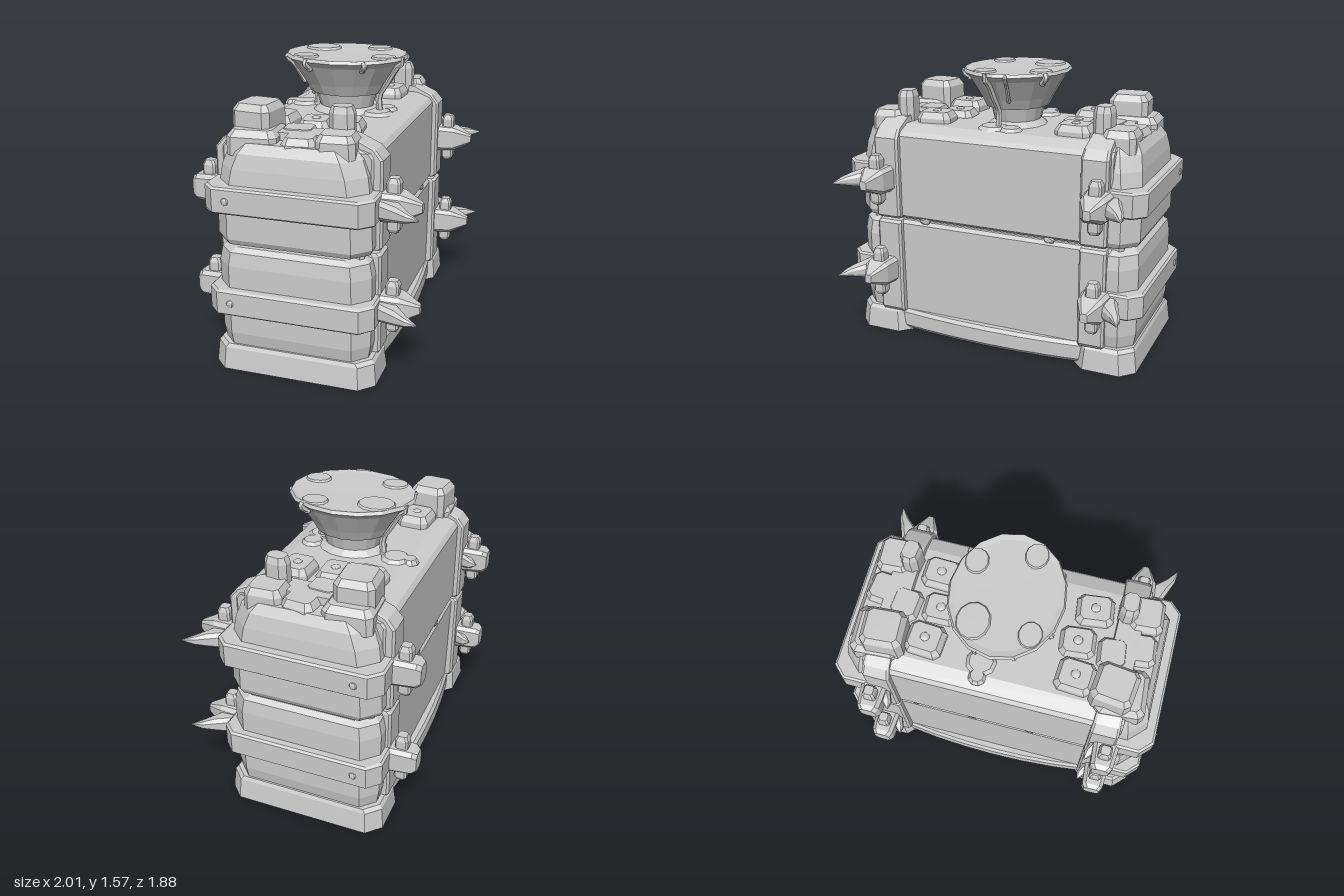
import * as THREE from 'three';

const stone = new THREE.MeshStandardMaterial({ color: 0xcccccc, flatShading: true });
stone.name = 'pale stone';

// Stack of corner-cut rectangles; ring = [y, halfX, halfZ, cut, offsetX, offsetZ]
function loft(rings) {
  const loops = rings.map(([y, hx, hz, c = 0.02, dx = 0, dz = 0]) => [
    [hx, -hz + c], [hx, hz - c], [hx - c, hz], [-hx + c, hz],
    [-hx, hz - c], [-hx, -hz + c], [-hx + c, -hz], [hx - c, -hz],
  ].map(([x, z]) => [x + dx, y, z + dz]));
  const out = [];
  const n = 8;
  for (let k = 0; k < loops.length - 1; k++) {
    const lo = loops[k], hi = loops[k + 1];
    for (let i = 0; i < n; i++) {
      const j = (i + 1) % n;
      out.push(...lo[i], ...hi[i], ...lo[j], ...lo[j], ...hi[i], ...hi[j]);
    }
  }
  const bottom = loops[0], top = loops[loops.length - 1];
  for (let i = 1; i < n - 1; i++) {
    out.push(...bottom[0], ...bottom[i], ...bottom[i + 1]);
    out.push(...top[0], ...top[i + 1], ...top[i]);
  }
  const g = new THREE.BufferGeometry();
  g.setAttribute('position', new THREE.Float32BufferAttribute(out, 3));
  g.computeVertexNormals();
  return g;
}

export function createModel() {
  const model = new THREE.Group();
  const chest = new THREE.Group();
  chest.name = 'chest';
  chest.rotation.y = 0.593;
  chest.position.set(-0.06, 0, -0.063);
  model.add(chest);

  const add = (name, geometry, x = 0, y = 0, z = 0, parent = chest) => {
    const m = new THREE.Mesh(geometry, stone);
    m.name = name;
    m.position.set(x, y, z);
    parent.add(m);
    return m;
  };
  const block = (name, x, z, rings) => add(name, loft(rings), x, 0, z);

  // Skirting that bows outward along both long sides
  const bow = new THREE.Shape();
  bow.moveTo(-0.58, -0.39);
  bow.quadraticCurveTo(0, -0.47, 0.58, -0.39);
  bow.lineTo(0.58, 0.39);
  bow.quadraticCurveTo(0, 0.47, -0.58, 0.39);
  const skirting = new THREE.ExtrudeGeometry(bow, {
    depth: 0.08, curveSegments: 6, bevelEnabled: true, bevelThickness: 0.02, bevelSize: 0.015, bevelSegments: 1,
  });
  skirting.rotateX(-Math.PI / 2);
  add('skirting', skirting, 0, 0.045, 0);

  // Middle of the body: lower tier, recessed seam, upper tier, roof
  block('lowerBody', 0, 0, [[0.1, 0.7, 0.395], [0.685, 0.7, 0.405], [0.705, 0.7, 0.39]]);
  block('seam', 0, 0, [[0.69, 0.76, 0.37], [0.74, 0.76, 0.37]]);
  block('upperBody', 0, 0, [[0.72, 0.7, 0.395], [0.735, 0.7, 0.41], [1.2, 0.7, 0.41], [1.225, 0.7, 0.39], [1.255, 0.68, 0.31]]);

  // Chips hanging along the seam
  for (const [x, z] of [[-0.4, 0.395], [0.36, 0.395], [0.12, -0.395], [-0.22, -0.395], [0.45, -0.395]]) {
    const chip = add('seamChip', new THREE.IcosahedronGeometry(0.025, 0), x, 0.712, z);
    chip.scale.set(1.5, 0.9, 0.6);
  }

  for (const s of [-1, 1]) {
    // End plinth and the two bulging end blocks
    block('plinth', s * 0.682, 0, [[0.01, 0.18, 0.447, 0.075], [0.13, 0.165, 0.435, 0.07], [0.15, 0.155, 0.42, 0.07]]);
    block('lowerEnd', s * 0.695, 0, [
      [0.14, 0.13, 0.395, 0.07], [0.22, 0.145, 0.41, 0.08], [0.6, 0.145, 0.415, 0.085],
      [0.675, 0.135, 0.4, 0.08], [0.7, 0.11, 0.37, 0.08],
    ]);
    block('upperEnd', s * 0.695, 0, [
      [0.72, 0.13, 0.4, 0.08], [0.75, 0.145, 0.415, 0.085], [0.95, 0.145, 0.41, 0.085],
      [1.12, 0.13, 0.385, 0.09], [1.2, 0.115, 0.355, 0.09], [1.25, 0.085, 0.31, 0.08],
    ]);

    // Straps around the ends, each with one rivet
    for (const y of [0.41, 0.97]) {
      block('strap', s * 0.725, 0, [
        [y - 0.07, 0.15, 0.435, 0.06], [y - 0.06, 0.162, 0.447, 0.065],
        [y + 0.06, 0.162, 0.447, 0.065], [y + 0.07, 0.15, 0.435, 0.06],
      ]);
      const rivet = add('rivet', new THREE.SphereGeometry(0.02, 8, 6), s * 0.887, y, -0.31);
      rivet.scale.x = 0.5;
    }

    for (const f of [-1, 1]) {
      // Corner posts, bending inward over the roof
      block('lowerPost', s * 0.615, 0, [
        [0.14, 0.075, 0.425], [0.16, 0.075, 0.44], [0.69, 0.075, 0.44], [0.705, 0.07, 0.425],
      ].map(([y, hx, hz]) => [y, hx, hz / 2, 0.012, 0, f * hz / 2]));
      block('upperPost', s * 0.615, 0, [
        [0.72, 0.07, 0.43], [0.735, 0.075, 0.445], [1.19, 0.075, 0.445], [1.24, 0.07, 0.405], [1.29, 0.065, 0.3],
      ].map(([y, hx, hz]) => [y, hx, hz / 2, 0.012, 0, f * hz / 2]));

      for (const y of [0.41, 0.96]) {
        // Prong facing outward, with a locking bar and a hooked claw
        const prong = add('prong', loft(f > 0
          ? [[0, 0.08, 0.075], [0.1, 0.07, 0.07], [0.2, 0.02, 0.025, 0.008]]
          : [[0, 0.07, 0.075], [0.12, 0.06, 0.07], [0.145, 0.045, 0.055]]), s * 0.645, y, f * 0.44);
        prong.rotation.x = f * Math.PI / 2;
        block('lockBar', s * 0.645, f * 0.495, [
          [y - 0.14, 0.025, 0.025, 0.01], [y - 0.12, 0.035, 0.035, 0.01],
          [y + 0.12, 0.035, 0.035, 0.01], [y + 0.145, 0.025, 0.025, 0.01],
        ]);
        const claw = add('claw', loft(f > 0
          ? [[0, 0.07, 0.05, 0.02], [0.09, 0.05, 0.04, 0.02, s * 0.055], [0.15, 0.028, 0.024, 0.012, s * 0.1], [0.215, 0.004, 0.004, 0.002, s * 0.13]]
          : [[0, 0.05, 0.045, 0.02], [0.05, 0.03, 0.03, 0.012, s * -0.04], [0.09, 0.004, 0.004, 0.002, s * -0.06]]),
        s * (f > 0 ? 0.695 : 0.61), y, f * 0.445);
        claw.rotation.x = f * Math.PI / 2;
      }
    }

    // Roof stones: [x, z, halfX, halfZ, top]
    for (const [x, z, hx, hz, top] of [
      [0.59, 0.21, 0.05, 0.065, 1.43], [0.605, -0.23, 0.11, 0.105, 1.425],
      [0.69, 0.22, 0.09, 0.1, 1.32], [0.65, -0.22, 0.13, 0.13, 1.31],
      [0.69, 0.03, 0.09, 0.09, 1.29], [0.56, -0.03, 0.08, 0.09, 1.295],
      [0.42, 0.18, 0.1, 0.085, 1.315], [0.37, -0.01, 0.095, 0.085, 1.295],
      [0.4, -0.2, 0.1, 0.09, 1.32],
    ]) {
      const m = block('roofStone', s * x, z, [
        [1.18, hx, hz, 0.025], [top - 0.035, hx, hz, 0.03], [top, hx * 0.78, hz * 0.78, 0.02],
      ]);
      m.rotation.y = 0.12 * Math.sin(x * 40 + z * 25 + s);
      if (x < 0.5) {
        const pebble = add('pebble', new THREE.IcosahedronGeometry(0.025, 1), s * x, top, z);
        pebble.scale.y = 0.4;
      }
    }
  }

  // Oval funnel with a filled bowl
  const funnel = new THREE.Group();
  funnel.name = 'funnel';
  funnel.position.set(0.02, 0, 0.033);
  funnel.scale.set(0.9, 1, 1.05);
  chest.add(funnel);
  const profile = [[0.2, 1.24], [0.17, 1.265], [0.145, 1.285], [0.165, 1.36], [0.195, 1.365],
    [0.225, 1.42], [0.295, 1.53], [0.33, 1.56], [0.32, 1.577], [0.29, 1.572], [0, 1.568]];
  add('bowl', new THREE.LatheGeometry(profile.map(([r, y]) => new THREE.Vector2(r, y)), 16), 0, 0, 0, funnel);

  // Slabs of slime lying on the rim: [angle, radius from centre, size]
  for (const [a, d, r] of [[0.55, 0.25, 0.07], [2.0, 0.25, 0.07], [3.9, 0.25, 0.07], [5.4, 0.22, 0.1]]) {
    add('rimSlime', new THREE.CylinderGeometry(r * 0.9, r, 0.014, 12), d * Math.cos(a), 1.575, d * Math.sin(a), funnel);
  }

  // Drips down the funnel: [angle, how far down, thickness]
  const path = [[0.315, 1.57], [0.325, 1.55], [0.29, 1.52], [0.23, 1.42], [0.19, 1.35], [0.195, 1.26]];
  for (const [a, count, r] of [[1.75, 6, 0.018], [5.0, 6, 0.018], [0.6, 3, 0.018], [1.35, 4, 0.012], [2.6, 3, 0.014], [3.6, 3, 0.016], [4.3, 4, 0.012]]) {
    const pts = path.slice(0, count).map(([d, y]) => new THREE.Vector3(d * Math.cos(a), y, d * Math.sin(a)));
    add('drip', new THREE.TubeGeometry(new THREE.CatmullRomCurve3(pts), 10, r, 6), 0, 0, 0, funnel);
    const end = pts[count - 1];
    add('dripEnd', new THREE.IcosahedronGeometry(r * 1.1, 1), end.x, end.y, end.z, funnel);
  }

  // Puddles on the roof at the foot of the long drips
  for (const [x, z, r] of [[-0.04, 0.23, 0.1], [0.07, 0.25, 0.07], [0.09, -0.24, 0.09], [0.09, -0.32, 0.05]]) {
    add('puddle', new THREE.CylinderGeometry(r * 0.7, r, 0.026, 9), x, 1.26, z);
  }
  return model;
}
